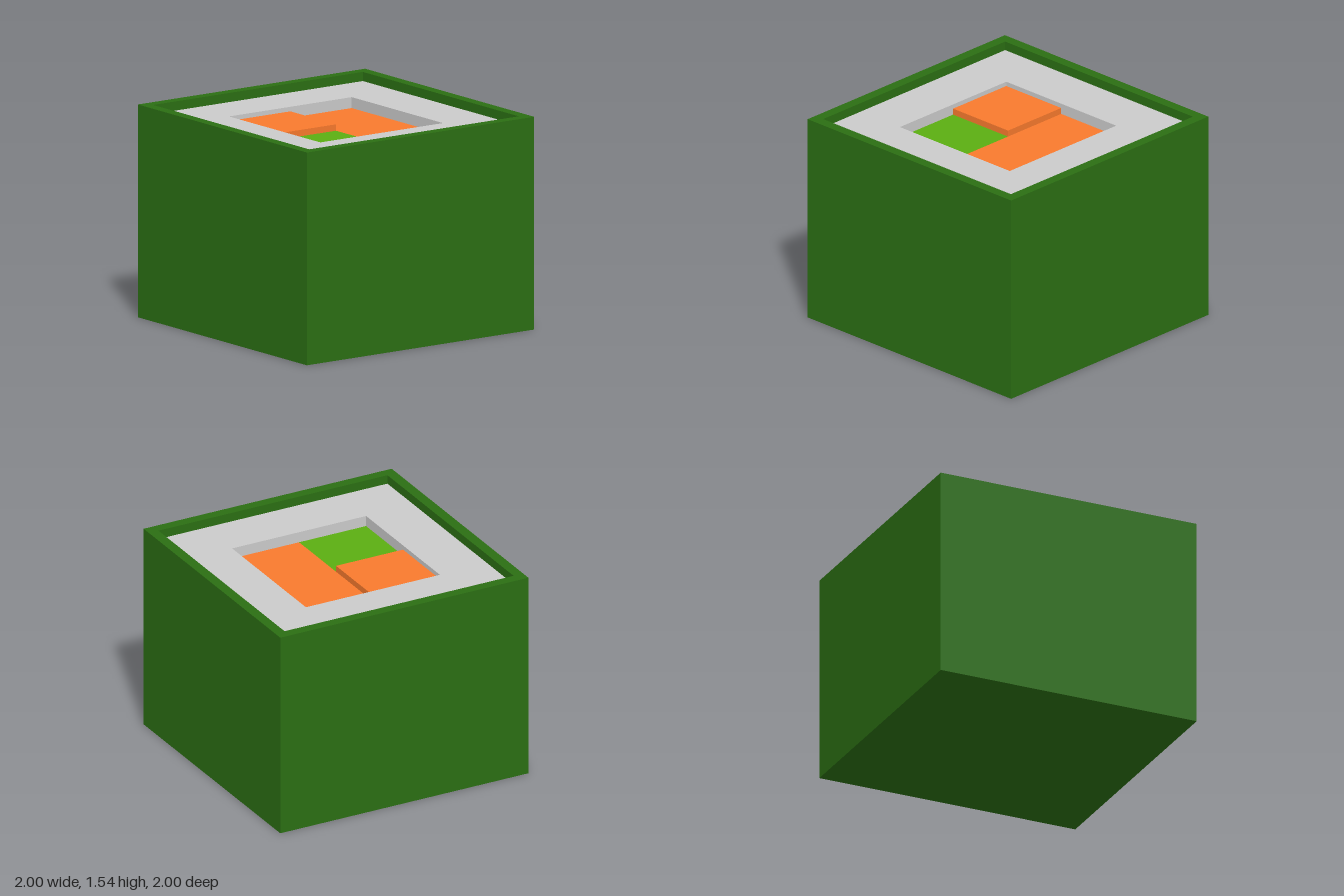
import * as THREE from 'three';

const HEIGHT = 1.537, PANEL_Y = 1.471, FLOOR_Y = 1.392, BLOCK_Y = 1.438, CUP_Y = 1.3;
const RIM = 0.923, WELL = 0.54;

function addMesh(group, name, geometry, color) {
  const mesh = new THREE.Mesh(geometry, new THREE.MeshStandardMaterial({ color }));
  mesh.name = name;
  group.add(mesh);
  return mesh;
}

// Square solid swept from a [half width, height] profile, with flat faces
function squareLathe(profile) {
  const points = profile.map(([half, y]) => new THREE.Vector2(half * Math.SQRT2, y));
  const geometry = new THREE.LatheGeometry(points, 4).rotateY(Math.PI / 4).toNonIndexed();
  geometry.computeVertexNormals();
  return geometry;
}

// Box given by its x, y and z limits
function boxBetween(x0, x1, y0, y1, z0, z1) {
  return new THREE.BoxGeometry(x1 - x0, y1 - y0, z1 - z0)
    .translate((x0 + x1) / 2, (y0 + y1) / 2, (z0 + z1) / 2);
}

export function createModel() {
  const group = new THREE.Group();
  group.name = 'squareBox';

  // Dark green body with a raised rim
  addMesh(group, 'body', squareLathe([
    [0, 0], [1, 0], [1, HEIGHT], [RIM, HEIGHT], [RIM, CUP_Y], [0, CUP_Y],
  ]), 0x2b6f13);

  // Grey panel framing the square well
  addMesh(group, 'panel', squareLathe([
    [WELL, CUP_Y], [RIM, CUP_Y], [RIM, PANEL_Y], [WELL, PANEL_Y], [WELL, CUP_Y],
  ]), 0xcccccc);

  // Well floor: orange half, green quarter and raised orange quarter
  addMesh(group, 'orangeFloor', boxBetween(0, WELL, CUP_Y, FLOOR_Y, -WELL, WELL), 0xf97a2d);
  addMesh(group, 'greenFloor', boxBetween(-WELL, 0, CUP_Y, FLOOR_Y, 0, WELL), 0x5bae12);
  addMesh(group, 'raisedBlock', boxBetween(-WELL, 0, CUP_Y, BLOCK_Y, -WELL, 0), 0xf97a2d);

  return group;
}
